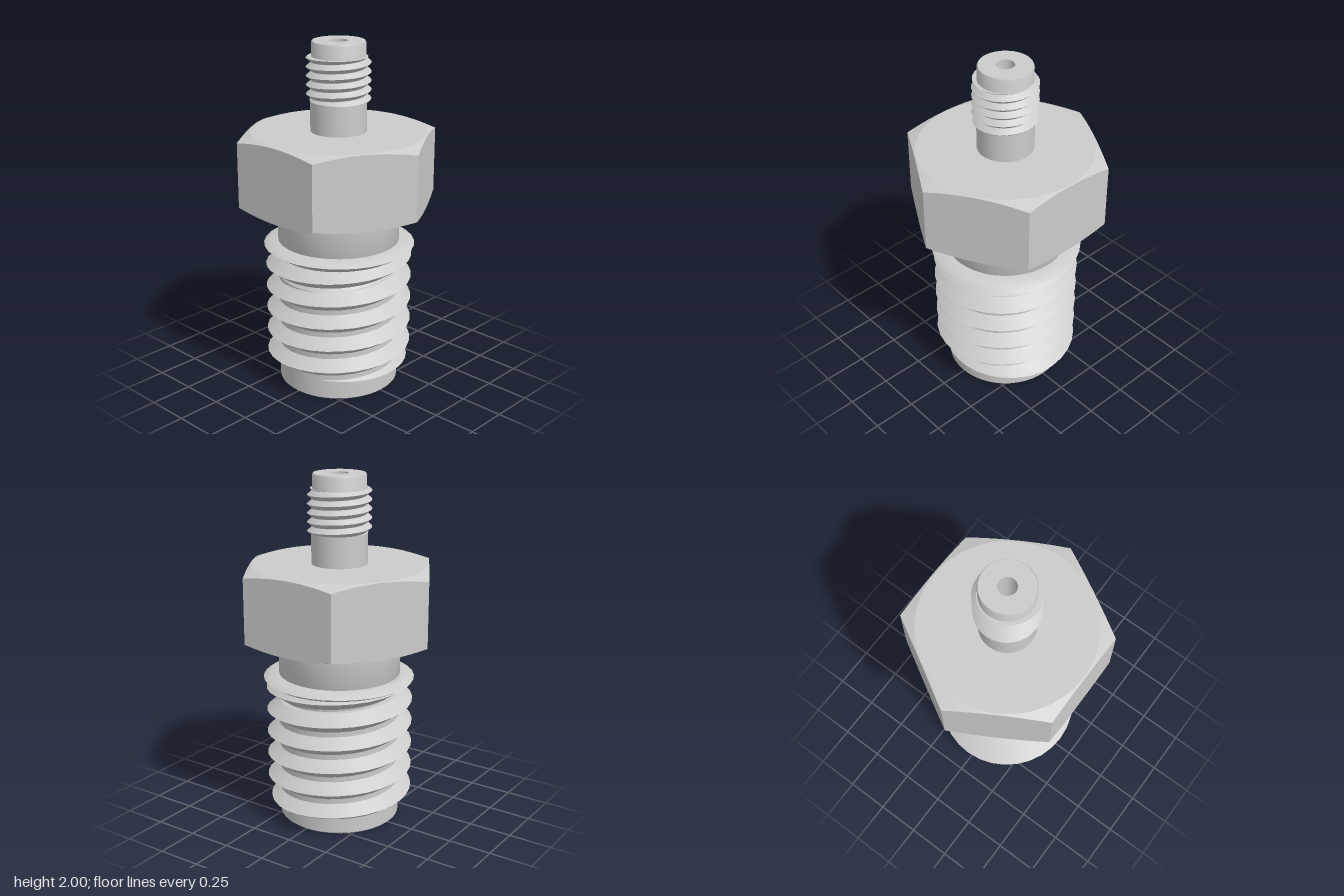
import * as THREE from 'three';
import { toCreasedNormals } from 'three/addons/utils/BufferGeometryUtils.js';

const material = new THREE.MeshStandardMaterial({ color: 0xcccccc });

function part(name, geometry, crease = 0.6) {
  const mesh = new THREE.Mesh(toCreasedNormals(geometry, crease), material);
  mesh.name = name;
  return mesh;
}

// Skin a list of cross-sections; each section is a list of [radius, y] at one angle.
function skin(sections, angles) {
  const positions = [], index = [], n = sections[0].length;
  sections.forEach((section, i) => {
    for (const [r, y] of section) {
      positions.push(r * Math.cos(angles[i]), y, -r * Math.sin(angles[i]));
    }
    if (i === 0) return;
    for (let j = 0; j < n - 1; j++) {
      const a = (i - 1) * n + j, b = i * n + j;
      index.push(a, b, a + 1, b, b + 1, a + 1);
    }
  });
  const geometry = new THREE.BufferGeometry();
  geometry.setAttribute('position', new THREE.Float32BufferAttribute(positions, 3));
  geometry.setIndex(index);
  return geometry;
}

// Right-handed V thread, cut off flat at the planes y = lo and y = hi.
function thread({ lo, hi, start, pitch, root, crest, halfWidth, turns, maxY = Infinity, flare = 0 }) {
  const perTurn = 32, first = -perTurn, last = Math.round(turns * perTurn);
  const sections = [], angles = [];
  for (let i = first; i <= last; i++) {
    const t = i / perTurn;
    const c = Math.min(start + pitch * t, maxY);
    const fade = Math.min(1, (last - i) / 6);
    const out = crest + flare * THREE.MathUtils.clamp(t - turns + 1.6, 0, 1);
    const radius = y => root + (out - root) * fade * Math.max(0, 1 - Math.abs(y - c) / halfWidth);
    const ys = [c - halfWidth, c, c + halfWidth].map(y => THREE.MathUtils.clamp(y, lo, hi));
    sections.push([
      [root - 0.03, ys[0]],
      ...ys.map(y => [radius(y), y]),
      [root - 0.03, ys[2]],
    ]);
    angles.push(t * Math.PI * 2);
  }
  return skin(sections, angles);
}

// Hexagon with conical chamfers on both ends, corners on the z axis.
function hexNut(y0, y1, apothem) {
  const steps = 72, flat = apothem - 0.008, slope = 0.35;
  const sections = [], angles = [];
  for (let i = 0; i <= steps; i++) {
    const a = (i / steps) * Math.PI * 2;
    const toFlat = a - Math.round(a / (Math.PI / 3)) * (Math.PI / 3);
    const r = apothem / Math.cos(toFlat);
    const drop = (r - flat) * slope;
    sections.push([[0.2, y0], [flat, y0], [r, y0 + drop], [r, y1 - drop], [flat, y1], [0.1, y1]]);
    angles.push(a);
  }
  return skin(sections, angles);
}

export function createModel() {
  const group = new THREE.Group();
  group.name = 'threadedFitting';

  // Turned body: outer wall upwards, then the bore downwards to the flared mouth
  const profile = [
    [0.335, 0], [0.347, 0.01], [0.347, 0.66], [0.315, 0.70], [0.31, 0.80], [0.347, 0.868],
    [0.347, 1.08], [0.157, 1.08], [0.157, 1.675], [0.15, 1.675], [0.15, 1.99], [0.145, 2],
    [0.05, 2], [0.05, 0.45], [0.335, 0],
  ].map(([r, y]) => new THREE.Vector2(r, y));
  group.add(part('body', new THREE.LatheGeometry(profile, 48)));

  group.add(part('hexNut', hexNut(1.07, 1.5, 0.4975), 0.3));

  // Coarse thread, its last turn running out into a collar
  group.add(part('mainThread', thread({
    lo: 0.12, hi: 0.868, start: 0.1255, pitch: 0.135, root: 0.343, crest: 0.42,
    halfWidth: 0.056, turns: 6.4, maxY: 0.843, flare: 0.015,
  })));

  // Fine thread near the tip
  group.add(part('tipThread', thread({
    lo: 1.675, hi: 1.917, start: 1.69, pitch: 0.05, root: 0.152, crest: 0.18,
    halfWidth: 0.024, turns: 5.2,
  })));

  return group;
}
